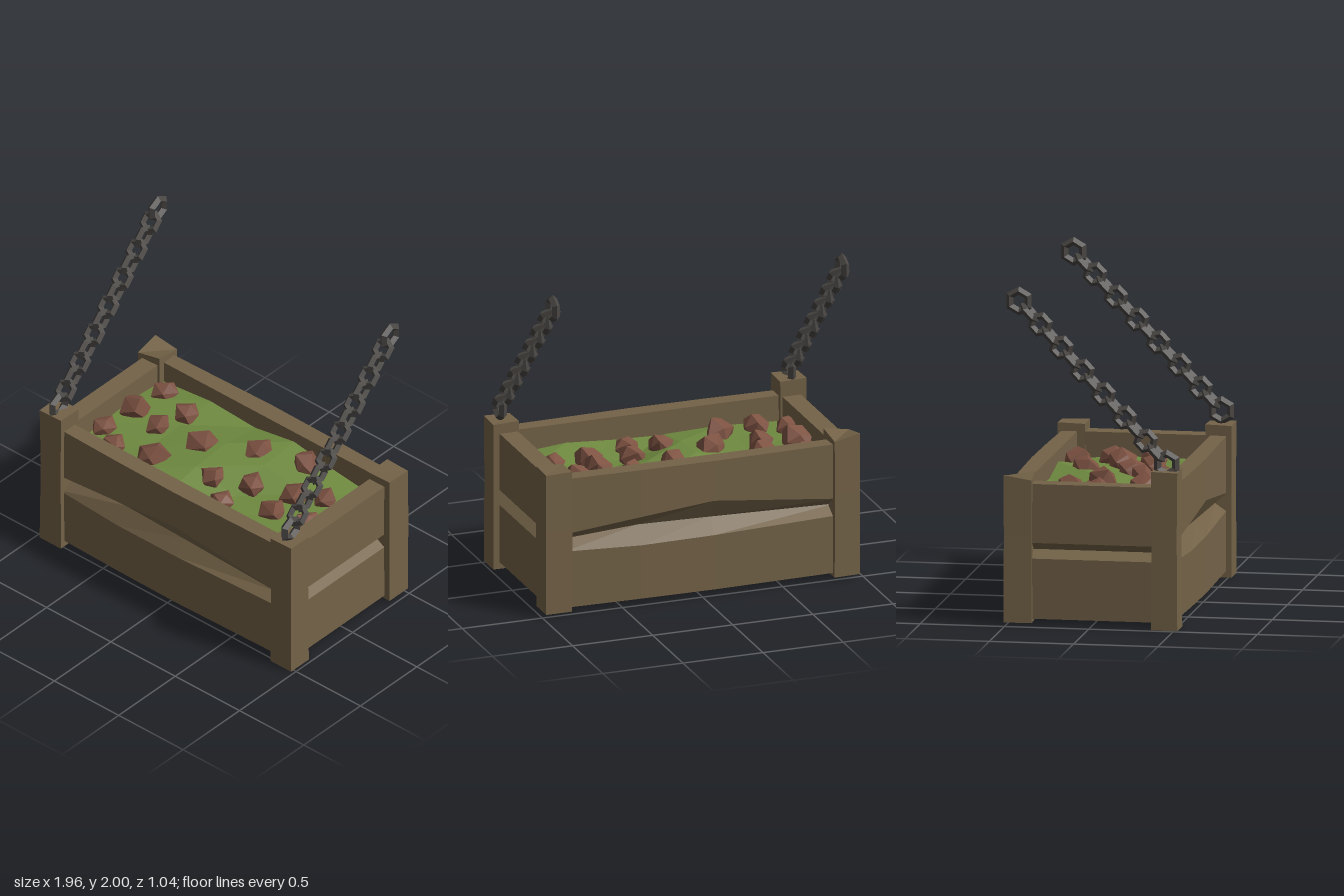
import * as THREE from 'three';
import { ConvexGeometry } from 'three/addons/geometries/ConvexGeometry.js';

const flat = (name, color) => {
  const m = new THREE.MeshStandardMaterial({ color, flatShading: true });
  m.name = name;
  return m;
};

// small seeded random, -1..1
function makeRandom(seed) {
  return () => {
    seed = (seed * 16807) % 2147483647;
    return (seed / 2147483647) * 2 - 1;
  };
}

function mesh(name, geometry, material) {
  const m = new THREE.Mesh(geometry, material);
  m.name = name;
  return m;
}

// Two stacked planks meeting in a V groove. Each station along x is
// [x, outer z, lower lip y, groove y, upper lip y].
function wallGeometry(stations, inner) {
  const rings = stations.map(([x, z, low, mid, high]) => [
    [x, 0.04, inner], [x, 0.04, z], [x, low, z], [x, mid, z - 0.07],
    [x, high, z], [x, 0.84, z], [x, 0.84, inner],
  ]);
  const pos = [];
  for (let i = 0; i < rings.length - 1; i++) {
    const n = rings[i].length;
    for (let k = 0; k < n; k++) {
      const a = rings[i][k], b = rings[i + 1][k];
      const c = rings[i + 1][(k + 1) % n], d = rings[i][(k + 1) % n];
      pos.push(...a, ...b, ...c, ...a, ...c, ...d);
    }
  }
  const g = new THREE.BufferGeometry();
  g.setAttribute('position', new THREE.Float32BufferAttribute(pos, 3));
  g.computeVertexNormals();
  return g;
}

// Rough-hewn post: a box with a slightly pinched waist and uneven top
function postGeometry(w, h, d, waist, tilt) {
  const g = new THREE.BoxGeometry(w, h, d, 1, 2, 1);
  const p = g.attributes.position;
  for (let i = 0; i < p.count; i++) {
    const x = p.getX(i), y = p.getY(i), z = p.getZ(i);
    if (Math.abs(y) < 0.01) {
      p.setXYZ(i, x * (1 - waist), y + 0.08, z * (1 - waist));
    } else if (y > 0) {
      p.setY(i, y - (x * z < 0 ? tilt : 0));
    }
  }
  g.computeVertexNormals();
  return g;
}

// Soil relief on a coarse grid
const soilX = [-0.83, -0.45, -0.1, 0.2, 0.5, 0.83];
const soilZ = [-0.4, -0.13, 0.13, 0.41];
const soilY = [
  [0.70, 0.74, 0.72, 0.77, 0.72, 0.68],
  [0.72, 0.72, 0.76, 0.75, 0.70, 0.70],
  [0.70, 0.71, 0.74, 0.67, 0.68, 0.70],
  [0.68, 0.70, 0.69, 0.70, 0.72, 0.69],
];

function soilHeight(x, z) {
  const cell = (list, v) => {
    let i = 0;
    while (i < list.length - 2 && v > list[i + 1]) i++;
    return [i, (v - list[i]) / (list[i + 1] - list[i])];
  };
  const [i, u] = cell(soilX, x), [j, v] = cell(soilZ, z);
  const { lerp } = THREE.MathUtils;
  return lerp(lerp(soilY[j][i], soilY[j][i + 1], u), lerp(soilY[j + 1][i], soilY[j + 1][i + 1], u), v);
}

function soilGeometry() {
  const g = new THREE.PlaneGeometry(1, 1, soilX.length - 1, soilZ.length - 1);
  const p = g.attributes.position;
  for (let i = 0; i < p.count; i++) {
    const c = i % soilX.length, r = Math.floor(i / soilX.length);
    p.setXYZ(i, soilX[c], soilY[r][c], soilZ[r]);
  }
  g.computeVertexNormals();
  return g;
}

// Irregular faceted stone
function rockGeometry(r, rand) {
  const pts = [];
  for (let i = 0; i < 12; i++) {
    const y = 1 - (2 * i + 1) / 12, a = i * 2.4 + rand() * 0.35;
    const s = Math.sqrt(1 - y * y), k = r * (1 + rand() * 0.14);
    pts.push(new THREE.Vector3(Math.cos(a) * s * k, y * k * 0.95, Math.sin(a) * s * k));
  }
  return new ConvexGeometry(pts);
}

// Slanted chain of six-sided links, every second one turned a quarter
function makeChain(name, x, top, material) {
  const chain = new THREE.Group();
  chain.name = name;
  const start = new THREE.Vector3(x, 0.975, 0.445);
  const end = new THREE.Vector3(x, top - 0.085, -0.432);
  const along = end.clone().sub(start).normalize();
  const side = new THREE.Vector3(1, 0, 0);
  const up = new THREE.Vector3(0, 1, 0);
  const linkGeo = new THREE.TorusGeometry(0.054, 0.023, 4, 6);
  const endGeo = new THREE.TorusGeometry(0.062, 0.025, 4, 6);
  const count = 15;
  for (let i = 0; i < count; i++) {
    const isEnd = i === 0 || i === count - 1;
    const link = mesh(isEnd ? 'endLink' : 'chainLink', isEnd ? endGeo : linkGeo, material);
    const dir = isEnd ? up : along;
    const normal = i % 2 ? new THREE.Vector3().crossVectors(side, dir) : side;
    const across = new THREE.Vector3().crossVectors(normal, dir);
    link.quaternion.setFromRotationMatrix(new THREE.Matrix4().makeBasis(dir, across, normal));
    link.position.lerpVectors(start, end, i / (count - 1));
    chain.add(link);
  }
  return chain;
}

export function createModel() {
  const wood = flat('wood', 0x746348);
  const grass = flat('grass', 0x6f8a40);
  const stone = flat('reddish stone', 0x7d5242);
  const iron = flat('dark iron', 0x484542);

  const model = new THREE.Group();
  model.name = 'hangingPlanter';

  // long walls, warped towards the middle
  const longWall = wallGeometry([
    [-0.86, 0.488, 0.39, 0.443, 0.497],
    [-0.38, 0.500, 0.372, 0.478, 0.548],
    [0.07, 0.505, 0.378, 0.470, 0.592],
    [0.86, 0.488, 0.395, 0.443, 0.497],
  ], 0.395);
  const front = mesh('frontWall', longWall, wood);
  const back = mesh('backWall', longWall, wood);
  back.rotation.y = Math.PI;
  model.add(front, back);

  // short straight walls
  const shortWall = wallGeometry([
    [-0.38, 0.94, 0.397, 0.443, 0.49],
    [0.38, 0.94, 0.397, 0.443, 0.49],
  ], 0.825);
  for (const s of [-1, 1]) {
    const wall = mesh(s > 0 ? 'leftWall' : 'rightWall', shortWall, wood);
    wall.rotation.y = s * Math.PI / 2;
    model.add(wall);
  }

  // floor
  const floor = mesh('floor', new THREE.BoxGeometry(1.66, 0.04, 0.8), wood);
  floor.position.y = 0.06;
  model.add(floor);

  // corner posts: name, x, z, width, bottom, top, depth, turn, waist, top tilt
  const posts = [
    ['frontRightPost', -0.893, 0.443, 0.165, 0, 0.94, 0.157, 0, 0.06, 0.005],
    ['frontLeftPost', 0.9, 0.443, 0.16, 0, 0.905, 0.157, 0, 0.03, 0.005],
    ['backLeftPost', 0.9, -0.43, 0.16, 0.02, 0.89, 0.162, 0, -0.03, 0.005],
    ['backRightPost', -0.895, -0.43, 0.162, 0.02, 0.895, 0.166, 0.05, 0.02, 0.03],
  ];
  for (const [name, x, z, w, y0, y1, d, turn, waist, tilt] of posts) {
    const post = mesh(name, postGeometry(w, y1 - y0, d, waist, tilt), wood);
    post.position.set(x, (y0 + y1) / 2, z);
    post.rotation.y = turn;
    model.add(post);
  }

  // soil and scattered stones: x, z, radius
  model.add(mesh('soil', soilGeometry(), grass));
  const rand = makeRandom(4711);
  const rocks = [
    [-0.72, -0.29, 0.08], [-0.48, -0.21, 0.085], [-0.74, -0.06, 0.095], [-0.54, -0.02, 0.08],
    [-0.22, -0.05, 0.105], [-0.78, 0.18, 0.075], [-0.63, 0.27, 0.085], [-0.37, 0.21, 0.1],
    [0.08, -0.21, 0.09], [0.37, -0.31, 0.09], [0.65, -0.15, 0.08], [0.49, -0.07, 0.095],
    [0.24, 0.03, 0.09], [0.71, 0.08, 0.08], [0.48, 0.13, 0.09], [0.03, 0.14, 0.08], [0.2, 0.24, 0.075],
  ];
  for (const [x, z, r] of rocks) {
    const rock = mesh('stone', rockGeometry(r, rand), stone);
    rock.position.set(x, Math.min(soilHeight(x, z) + 0.02, 0.84 - r), z);
    model.add(rock);
  }

  // chains rising backwards from the front posts
  model.add(makeChain('rightChain', -0.895, 2, iron));
  model.add(makeChain('leftChain', 0.91, 1.975, iron));
  return model;
}
